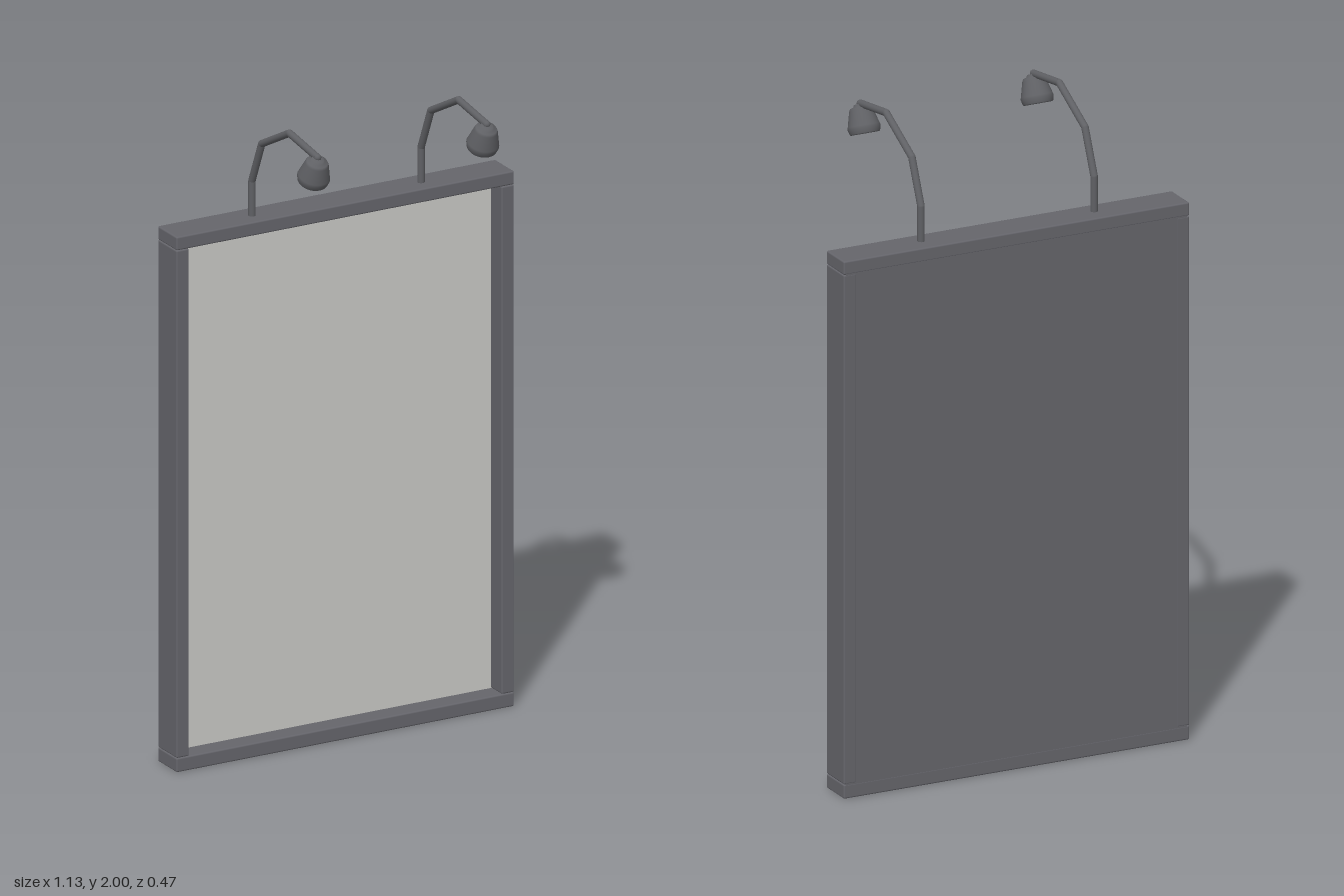
import * as THREE from 'three';
import { RoundedBoxGeometry } from 'three/addons/geometries/RoundedBoxGeometry.js';

const mat = (name, color) => Object.assign(new THREE.MeshStandardMaterial({ color }), { name });

export function createModel() {
  const frameMat = mat('frame grey', 0x65656b);
  const lampMat = mat('lamp grey', 0x5f6064);
  const posterMat = mat('poster pale grey', 0xc9c9c6);
  const root = new THREE.Group();
  root.name = 'lampLitSignBoard';

  const add = (parent, name, geo, material, x = 0, y = 0, z = 0) => {
    const m = new THREE.Mesh(geo, material);
    m.name = name;
    m.position.set(x, y, z);
    parent.add(m);
    return m;
  };

  // Frame: four softly bevelled bars
  const zMid = -0.182, depth = 0.112;
  const bar = (name, w, h, x, y) =>
    add(root, name, new RoundedBoxGeometry(w, h, depth, 2, 0.005), frameMat, x, y, zMid);
  bar('topBar', 1.13, 0.042, 0, 1.641);
  bar('bottomBar', 1.13, 0.044, 0, 0.024);
  for (const s of [-1, 1]) bar(s > 0 ? 'leftBar' : 'rightBar', 0.042, 1.574, s * 0.544, 0.833);

  // Solid back, with the recessed poster face in front of it
  add(root, 'backPanel', new THREE.BoxGeometry(1.115, 1.64, 0.044), frameMat, 0, 0.832, -0.2155);
  add(root, 'poster', new THREE.BoxGeometry(1.05, 1.578, 0.004), posterMat, 0, 0.833, -0.1915);

  // Lamps: angular bent arm and a tilted shade
  const path = [[1.655, -0.179], [1.77, -0.179], [1.903, -0.121], [1.988, 0.042], [1.965, 0.207]]
    .map(([y, z]) => new THREE.Vector3(0, y, z));
  const up = new THREE.Vector3(0, 1, 0);
  const shadeProfile = [[0, 0], [0.042, 0], [0.045, 0.003], [0.049, 0.018], [0.047, 0.025],
    [0.035, 0.07], [0.031, 0.077], [0.021, 0.08], [0.018, 0.087], [0, 0.089]]
    .map(([r, h]) => new THREE.Vector2(r, h));

  for (const s of [-1, 1]) {
    const lamp = new THREE.Group();
    lamp.name = s > 0 ? 'leftLamp' : 'rightLamp';
    lamp.position.x = s * 0.283;
    root.add(lamp);
    for (let i = 0; i < path.length - 1; i++) {
      const dir = path[i + 1].clone().sub(path[i]);
      const mid = path[i].clone().add(path[i + 1]).multiplyScalar(0.5);
      const seg = add(lamp, 'armSegment', new THREE.CylinderGeometry(0.011, 0.011, dir.length(), 16),
        lampMat, mid.x, mid.y, mid.z);
      seg.quaternion.setFromUnitVectors(up, dir.normalize());
      const p = path[i + 1];
      add(lamp, 'armJoint', new THREE.SphereGeometry(0.011, 16, 10), lampMat, p.x, p.y, p.z);
    }
    const shade = add(lamp, 'lampShade', new THREE.LatheGeometry(shadeProfile, 28), lampMat, 0, 1.881, 0.177);
    shade.rotation.x = 0.385;
  }
  return root;
}
